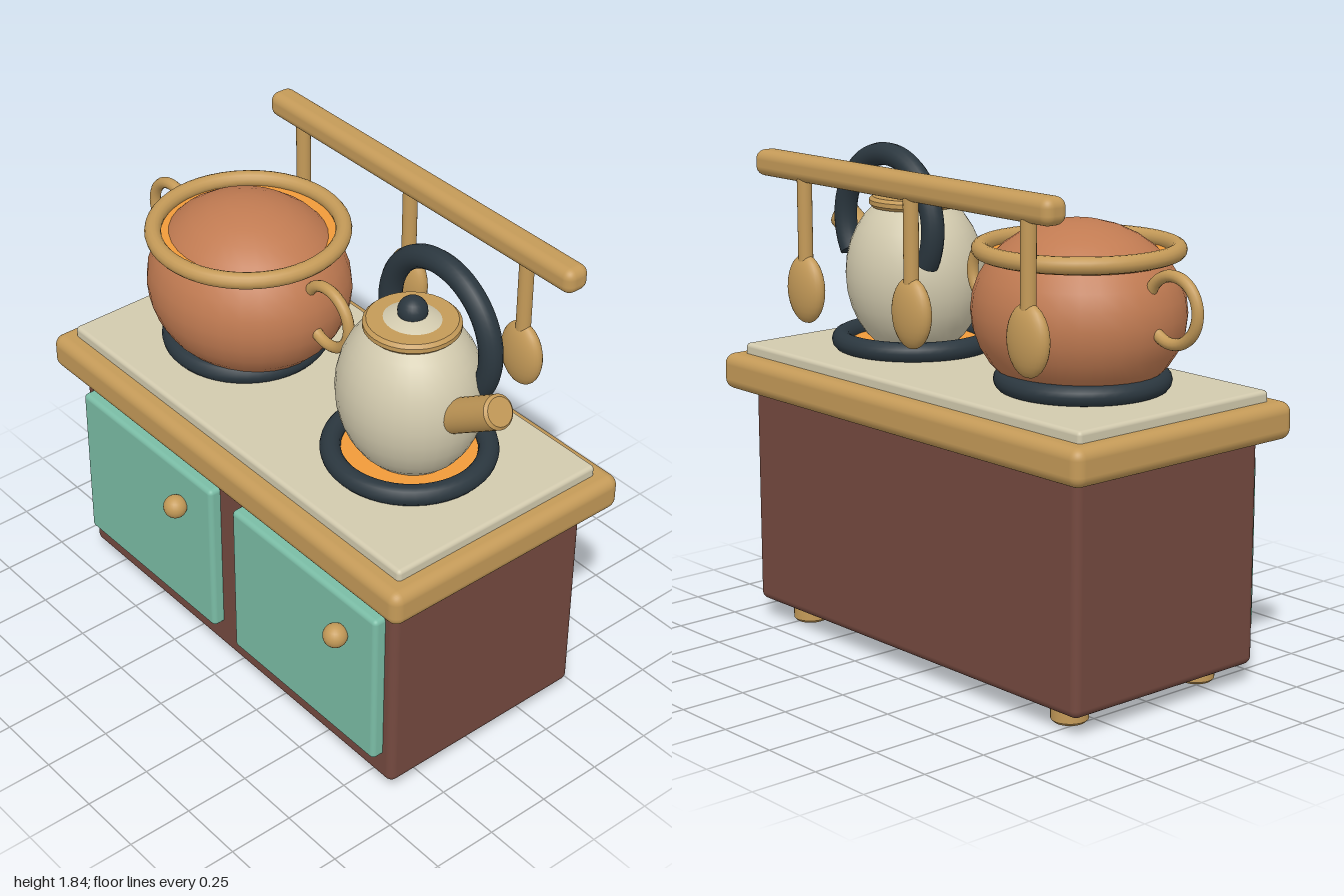
import * as THREE from 'three';
import { RoundedBoxGeometry } from 'three/addons/geometries/RoundedBoxGeometry.js';

const paint = (color) => new THREE.MeshStandardMaterial({ color });

export function createModel() {
  const model = new THREE.Group();
  model.name = 'toyStove';
  const wood = paint(0xc49a58), brown = paint(0x74493f), cream = paint(0xd2caae);
  const teal = paint(0x7abca5), dark = paint(0x2b373f), clay = paint(0xc17b52), flame = paint(0xf09a3a);

  const add = (parent, name, geometry, material, x, y, z) => {
    const mesh = new THREE.Mesh(geometry, material);
    mesh.name = name;
    mesh.position.set(x, y, z);
    parent.add(mesh);
    return mesh;
  };
  const group = (name, x, z) => {
    const g = new THREE.Group();
    g.name = name;
    g.position.set(x, 0, z);
    model.add(g);
    return g;
  };
  const box = (w, h, d, r) => new RoundedBoxGeometry(w, h, d, 4, r);
  const ellipsoid = (rx, ry, rz, n = 32) => new THREE.SphereGeometry(1, n, n / 2).scale(rx, ry, rz);
  const disc = (r, h, bevel = 0.006) => new THREE.LatheGeometry([
    [0, -h / 2], [r - bevel, -h / 2], [r - bevel, -h / 2], [r, -h / 2 + bevel], [r, -h / 2 + bevel],
    [r, h / 2 - bevel], [r, h / 2 - bevel], [r - bevel, h / 2], [r - bevel, h / 2], [0, h / 2],
  ].map(([a, b]) => new THREE.Vector2(a, b)), 32);
  const flatRing = (major, tube) => new THREE.TorusGeometry(major, tube, 14, 48).rotateX(Math.PI / 2);

  // Cabinet and counter
  add(model, 'cabinet', box(1.772, 0.88, 0.865, 0.03), brown, 0.021, 0.51, -0.013);
  add(model, 'countertop', box(1.955, 0.135, 1.03, 0.04), wood, 0.022, 0.963, -0.015);
  add(model, 'cooktop', box(1.83, 0.06, 0.895, 0.015), cream, 0.02, 1.04, -0.017);

  // Doors with knobs
  for (const [x, knobX] of [[-0.43, -0.215], [0.472, 0.69]]) {
    add(model, 'door', box(0.78, 0.635, 0.08, 0.018), teal, x, 0.502, 0.425);
    add(model, 'doorKnob', ellipsoid(0.044, 0.044, 0.044, 24), wood, knobX, 0.667, 0.494);
  }

  // Feet
  for (const x of [-0.705, 0.745])
    for (const z of [0.293, -0.322])
      add(model, 'foot', disc(0.066, 0.1, 0.01), wood, x, 0.05, z);

  // Burners
  for (const x of [-0.435, 0.474]) {
    const burner = group('burner', x, -0.017);
    add(burner, 'burnerRing', flatRing(0.274, 0.037), dark, 0, 1.102, 0);
    add(burner, 'flameDisc', disc(0.265, 0.03), flame, 0, 1.079, 0);
  }

  // Cooking pot
  const pot = group('pot', -0.413, -0.018);
  add(pot, 'potBody', ellipsoid(0.393, 0.32, 0.36), clay, 0, 1.337, 0);
  add(pot, 'potRim', flatRing(0.341, 0.03), wood, 0, 1.555, 0);
  add(pot, 'soup', disc(0.335, 0.02), flame, 0, 1.53, 0);
  for (const x of [-0.452, 0.443])
    add(pot, 'potHandle', new THREE.TorusGeometry(0.115, 0.021, 12, 40), wood, x, 1.405, 0);

  // Kettle
  const kettle = group('kettle', 0.473, -0.016);
  add(kettle, 'kettleBody', ellipsoid(0.272, 0.315, 0.25), cream, 0, 1.345, 0);
  add(kettle, 'kettleLid', disc(0.168, 0.04, 0.012), wood, 0, 1.616, 0);
  add(kettle, 'lidKnob', ellipsoid(0.052, 0.052, 0.052, 24), dark, 0, 1.667, 0);
  const arc = Math.PI * 1.33;
  const handle = add(kettle, 'kettleHandle', new THREE.TorusGeometry(0.253, 0.042, 14, 48, arc), dark, 0, 1.546, -0.125);
  handle.rotation.z = Math.PI / 2 - arc / 2;
  for (const side of [0, arc]) {
    const cap = add(handle, 'handleEnd', new THREE.CircleGeometry(0.042, 14), dark,
      0.253 * Math.cos(side), 0.253 * Math.sin(side), 0);
    cap.rotation.set(side ? -Math.PI / 2 : Math.PI / 2, side, 0, 'ZXY');
    if (side) cap.rotation.set(-Math.PI / 2, 0, side, 'ZXY');
  }
  const spout = add(kettle, 'spout', disc(0.06, 0.28, 0.01), wood, 0.336, 1.439, 0.018);
  spout.rotation.z = -Math.PI * 0.317;

  // Utensil rail with hanging spoons
  add(model, 'utensilRail', box(1.585, 0.095, 0.1, 0.035), wood, 0.018, 1.767, -0.45);
  for (const x of [-0.65, -0.053, 0.545]) {
    const spoon = group('spoon', x, -0.466);
    add(spoon, 'spoonHandle', new THREE.CylinderGeometry(0.027, 0.027, 0.38, 20), wood, 0, 1.57, 0);
    add(spoon, 'spoonBowl', ellipsoid(0.095, 0.126, 0.046, 28), wood, 0, 1.333, 0);
  }
  return model;
}
